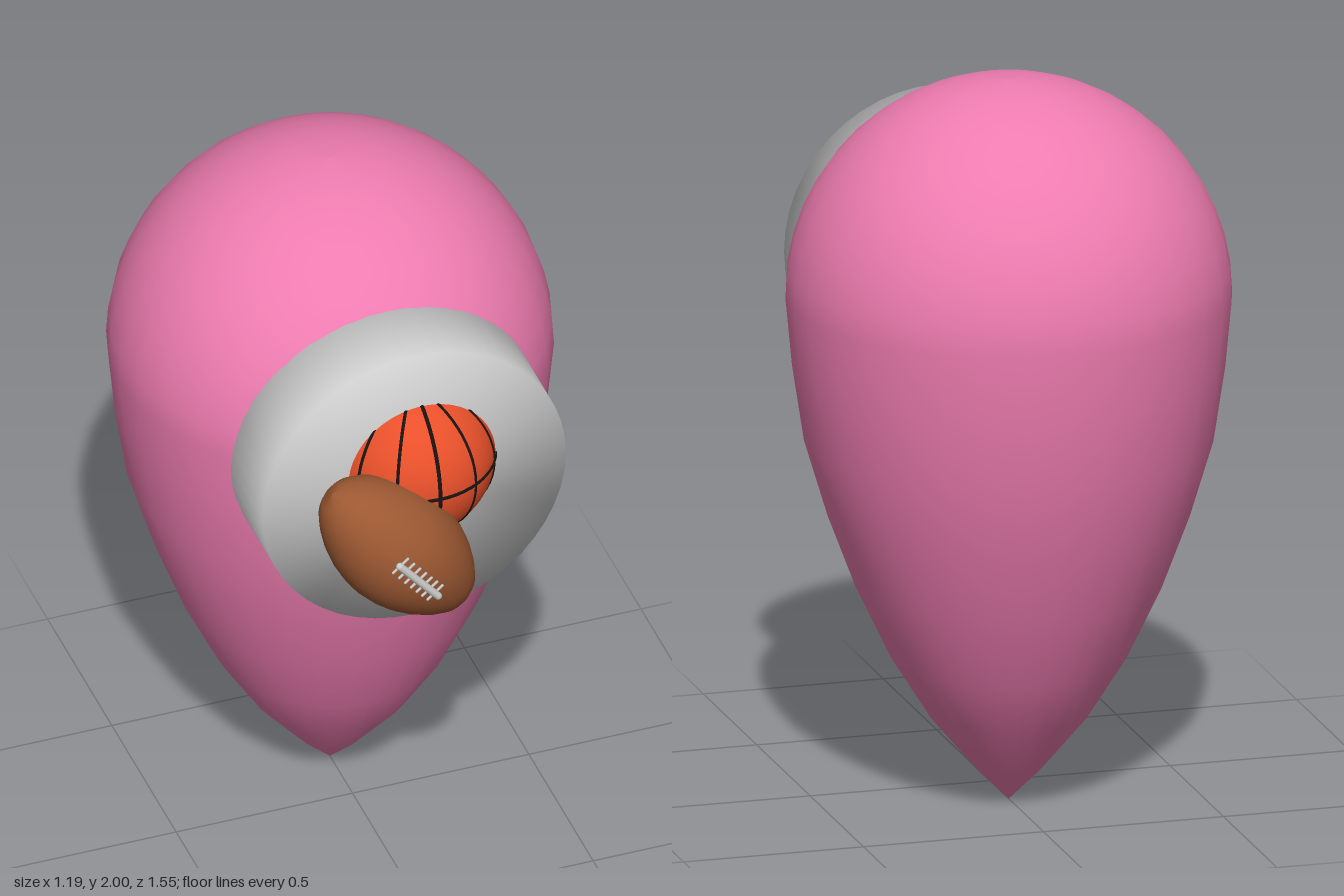
import * as THREE from 'three';
import { mergeVertices } from 'three/addons/utils/BufferGeometryUtils.js';

const mat = (color) => new THREE.MeshStandardMaterial({ color });
const v2 = (list) => list.map(([r, y]) => new THREE.Vector2(r, y));

function add(parent, name, geometry, material) {
  const mesh = new THREE.Mesh(geometry, material);
  mesh.name = name;
  parent.add(mesh);
  return mesh;
}

// Teardrop body: pointed foot rising into a half sphere
function teardropBody() {
  const profile = [[0, 0], [0.085, 0.085], [0.215, 0.24], [0.315, 0.4], [0.41, 0.6],
    [0.485, 0.8], [0.548, 1.01], [0.58, 1.22]];
  for (let i = 0; i <= 12; i++) {
    const a = (i / 12) * Math.PI / 2;
    profile.push([i === 12 ? 0 : 0.597 * Math.cos(a), 1.4 + 0.6 * Math.sin(a)]);
  }
  return new THREE.LatheGeometry(v2(profile), 32);
}

// Round plate with soft shading across its rim
function plateGeometry() {
  let g = new THREE.CylinderGeometry(0.43, 0.43, 0.4, 48);
  g.deleteAttribute('normal');
  g.deleteAttribute('uv');
  g = mergeVertices(g);
  g.computeVertexNormals();
  return g.rotateX(Math.PI / 2);
}

// Orange ball with an equator seam and six meridian rings
function seamedBall() {
  const ball = new THREE.Group();
  ball.name = 'orangeBall';
  const R = 0.224;
  add(ball, 'ballSkin', new THREE.SphereGeometry(R, 40, 28), mat(0xe8502a));
  const black = mat(0x1a1210);
  const ring = (tube) => new THREE.TorusGeometry(R - 0.002, tube, 6, 56);
  add(ball, 'equatorSeam', ring(0.006), black).rotation.x = Math.PI / 2;
  for (let i = 0; i < 6; i++) {
    add(ball, 'meridianSeam', ring(i === 3 ? 0.006 : 0.005), black).rotation.y = i * Math.PI / 6;
  }
  return ball;
}

// Brown oval ball along local y, laces on its +z side
function ovalBall() {
  const ball = new THREE.Group();
  ball.name = 'ovalBall';
  const half = [[0.165, 0], [0.161, 0.05], [0.15, 0.1], [0.132, 0.15], [0.106, 0.2],
    [0.078, 0.24], [0.045, 0.268], [0, 0.283]];
  const profile = [...half.slice(1).reverse().map(([r, y]) => [r, -y]), ...half];
  add(ball, 'ovalSkin', new THREE.LatheGeometry(v2(profile), 32), mat(0x9c5832));

  const white = mat(0xd8d8d8);
  const lace = new THREE.CapsuleGeometry(0.011, 0.165, 4, 10);
  add(ball, 'laceBar', lace, white).position.z = 0.172;
  for (let i = -3; i <= 3; i++) {
    const stitch = new THREE.CapsuleGeometry(0.004, 0.055, 3, 8).rotateZ(Math.PI / 2);
    const y = i * 0.025;
    add(ball, 'laceStitch', stitch, white).position.set(0, y, 0.168 - y * y);
  }
  return ball;
}

export function createModel() {
  const model = new THREE.Group();
  model.name = 'sportsPin';

  add(model, 'teardropBody', teardropBody(), mat(0xee7cb0)).position.z = -0.175;
  add(model, 'frontPlate', plateGeometry(), mat(0xcccccc)).position.set(0, 1.37, 0.28);

  const orange = seamedBall();
  orange.position.set(0.022, 1.42, 0.4);
  model.add(orange);

  const oval = ovalBall();
  oval.position.set(-0.09, 1.275, 0.592);
  oval.rotation.z = 0.71;
  model.add(oval);

  return model;
}
